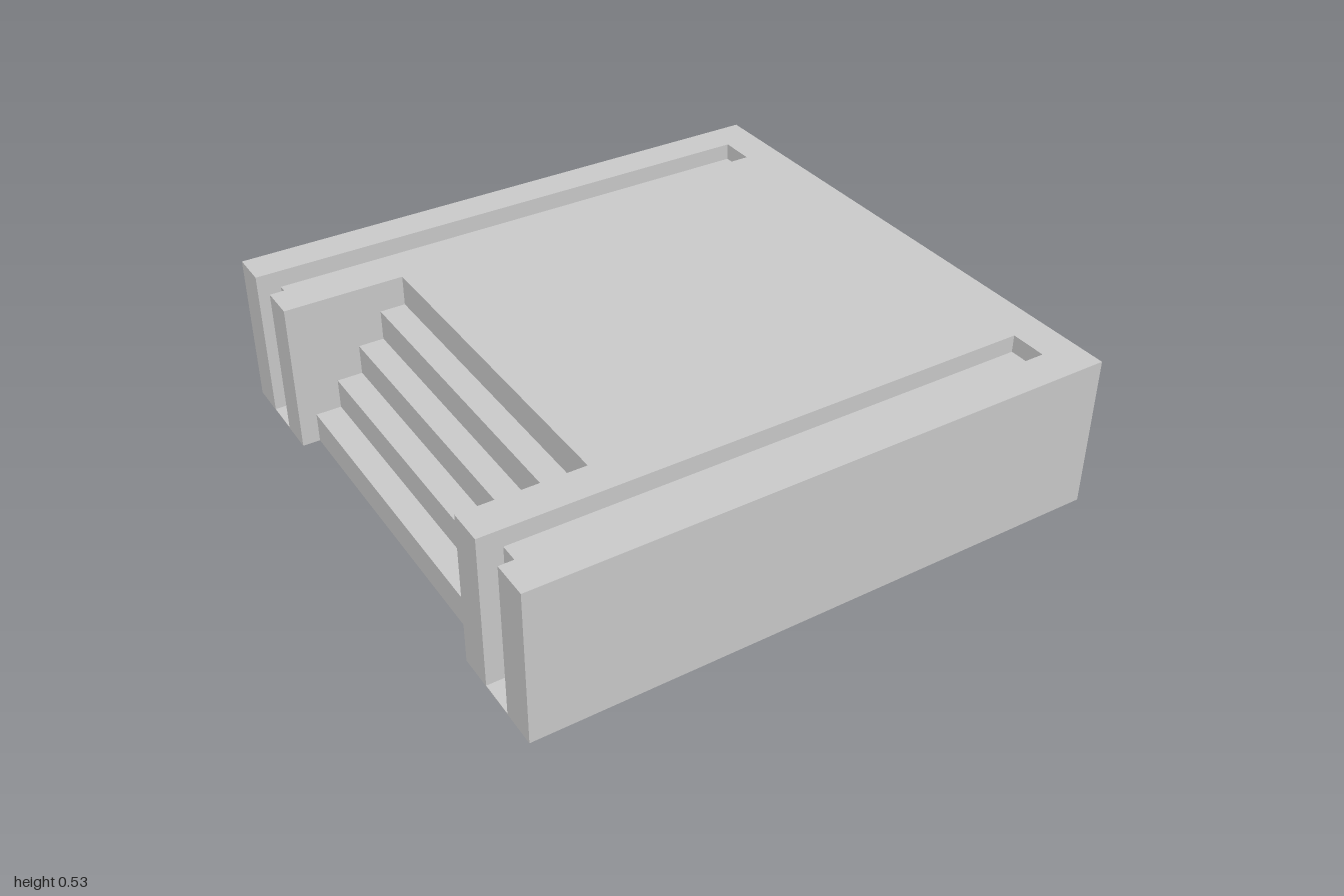
import * as THREE from 'three';

const H = 0.53;         // overall height
const Z_EDGE = 0.983;   // half depth
const SLOT_OUT = 0.857, SLOT_IN = 0.73;
const STAIR_Z = 0.608;  // half width of the staircase

export function createModel() {
  const group = new THREE.Group();
  group.name = 'steppedPlatform';
  const material = new THREE.MeshStandardMaterial({ color: 0xcccccc, flatShading: true });

  // Extrudes a side profile (x, y) between two depths
  function slab(name, profile, z0, z1) {
    const shape = new THREE.Shape(profile.map(([x, y]) => new THREE.Vector2(x, y)));
    const geometry = new THREE.ExtrudeGeometry(shape, { depth: z1 - z0, bevelEnabled: false });
    geometry.translate(0, 0, z0);
    const mesh = new THREE.Mesh(geometry, material);
    mesh.name = name;
    group.add(mesh);
  }

  // Solid wall, and wall with a shallow top groove running into a full-height end slot
  const wall = [[-1, 0], [1, 0], [1, H], [-1, H]];
  const grooved = [
    [-1, 0], [1, 0], [1, H], [0.875, H], [0.875, H - 0.06],
    [-0.92, H - 0.06], [-0.92, 0.003], [-1, 0.003],
  ];

  // Centre block: four treads and five equal risers on the -x side
  const stairs = [[1, H], [1, 0]];
  const risers = 5, firstX = -0.94, run = 0.088;
  for (let i = 0; i < risers; i++) {
    const x = firstX + i * run;
    stairs.push([x, (i * H) / risers], [x, ((i + 1) * H) / risers]);
  }
  slab('stairBlock', stairs, -STAIR_Z, STAIR_Z);

  // Matching side walls and grooves
  for (const [side, s] of [['front', 1], ['back', -1]]) {
    const strip = (part, profile, a, b) =>
      slab(side + part, profile, Math.min(s * a, s * b), Math.max(s * a, s * b));
    strip('InnerWall', wall, STAIR_Z, SLOT_IN);
    strip('GrooveChannel', grooved, SLOT_IN, SLOT_OUT);
    strip('OuterWall', wall, SLOT_OUT, Z_EDGE);
  }

  return group;
}
